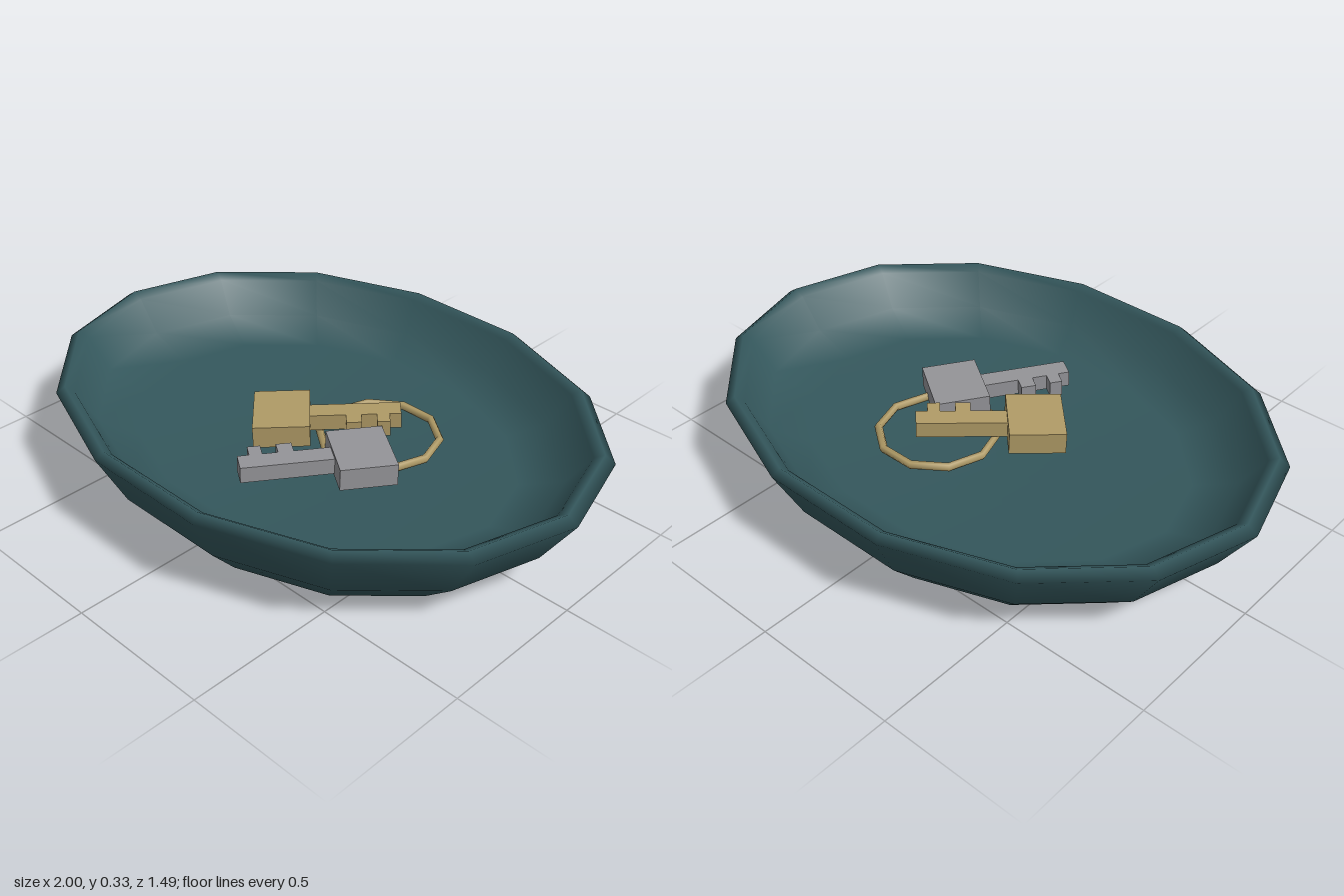
import * as THREE from 'three';

export function createModel() {
  const model = new THREE.Group();
  const material = (name, color) => {
    const m = new THREE.MeshStandardMaterial({ color });
    m.name = name;
    return m;
  };
  const teal = material('dark teal glaze', 0x34575c);
  const brass = material('brass', 0xb09b66);
  const steel = material('steel', 0x949498);

  // Oval bowl: outer wall, rim, then inner wall and floor
  const profile = [
    [0, 0], [0.735, 0], [0.885, 0.13], [1, 0.305], [0.965, 0.33],
    [0.93, 0.31], [0.85, 0.2], [0.7, 0.145], [0, 0.135],
  ].map(([r, y]) => new THREE.Vector2(r, y));
  const bowl = new THREE.Mesh(new THREE.LatheGeometry(profile, 14, Math.PI / 2), teal);
  bowl.name = 'bowl';
  bowl.scale.z = 0.765;
  model.add(bowl);

  // Key ring lying flat on the floor
  const ring = new THREE.Mesh(new THREE.TorusGeometry(0.198, 0.014, 6, 10), brass);
  ring.name = 'keyRing';
  ring.rotation.x = -Math.PI / 2;
  ring.position.set(0.148, 0.165, -0.115);
  model.add(ring);

  // Key: bow at the origin, blade along +x, teeth towards +z
  function addKey(name, mat, position, turn, tilt) {
    const key = new THREE.Group();
    key.name = name;
    const bow = new THREE.Mesh(new THREE.BoxGeometry(0.185, 0.075, 0.225), mat);
    bow.name = 'keyBow';
    key.add(bow);

    const outline = [
      [0.08, -0.034], [0.39, -0.034], [0.39, 0.034], [0.352, 0.034],
      [0.352, 0.08], [0.31, 0.08], [0.31, 0.034], [0.26, 0.034],
      [0.26, 0.08], [0.21, 0.08], [0.21, 0.034], [0.08, 0.034],
    ].map(([x, z]) => new THREE.Vector2(x, z));
    const blade = new THREE.ExtrudeGeometry(new THREE.Shape(outline), { depth: 0.055, bevelEnabled: false });
    blade.rotateX(Math.PI / 2).translate(0, 0.0275, 0);
    const shaft = new THREE.Mesh(blade, mat);
    shaft.name = 'keyBlade';
    key.add(shaft);

    key.position.set(...position);
    key.rotation.set(0, turn, tilt);
    model.add(key);
  }
  addKey('brassKey', brass, [-0.102, 0.208, 0.086], Math.PI / 4, 0.03);
  addKey('steelKey', steel, [0.228, 0.197, 0.058], -2.165, 0.02);

  return model;
}
